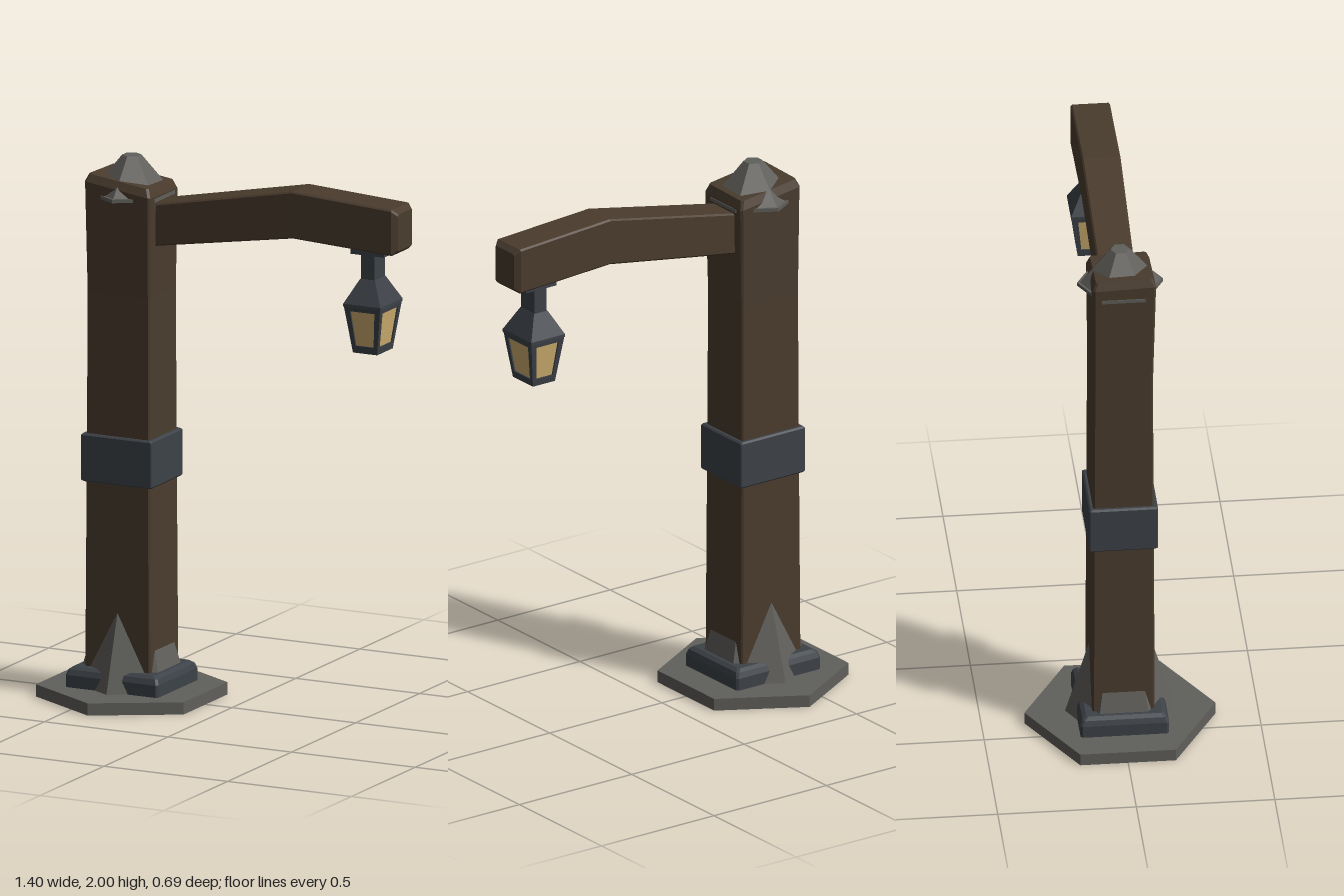
import * as THREE from 'three';

const material = (color) => new THREE.MeshStandardMaterial({ color, flatShading: true });

// Chamfered rectangular cross-section at height y; counterclockwise from above.
function section(y, hx, hz, c = 0, cx = 0, cz = 0) {
  const corners = c
    ? [[hx - c, hz], [hx, hz - c], [hx, c - hz], [hx - c, -hz], [c - hx, -hz], [-hx, c - hz], [-hx, hz - c], [c - hx, hz]]
    : [[hx, hz], [hx, -hz], [-hx, -hz], [-hx, hz]];
  return corners.map(([x, z]) => new THREE.Vector3(cx + x, y, cz + z));
}

// Solid through a stack of cross-sections, capped at both ends.
function loft(rings) {
  const pts = [];
  const n = rings[0].length;
  for (let r = 0; r < rings.length - 1; r++) {
    for (let i = 0; i < n; i++) {
      const j = (i + 1) % n;
      const a = rings[r][i], b = rings[r][j], c = rings[r + 1][j], d = rings[r + 1][i];
      pts.push(a, b, c, a, c, d);
    }
  }
  const lo = rings[0], hi = rings[rings.length - 1];
  for (let i = 1; i < n - 1; i++) pts.push(lo[0], lo[i + 1], lo[i], hi[0], hi[i], hi[i + 1]);
  const g = new THREE.BufferGeometry().setFromPoints(pts);
  g.computeVertexNormals();
  return g;
}

export function createModel() {
  const model = new THREE.Group();
  const wood = material(0x4a3c2e);
  const iron = material(0x3d4248);
  const stone = material(0x605f5b);
  const glass = material(0xd0b070);

  const add = (parent, name, geometry, mat, x = 0, y = 0, z = 0) => {
    const mesh = new THREE.Mesh(geometry, mat);
    mesh.name = name;
    mesh.position.set(x, y, z);
    parent.add(mesh);
    return mesh;
  };
  const hex = (top, bottom, y0, y1) =>
    new THREE.CylinderGeometry(top, bottom, y1 - y0, 6).translate(0, (y0 + y1) / 2, 0);

  // Stone foot: hexagonal slab and a tapering core that breaks through the post
  const column = new THREE.Group();
  column.name = 'column';
  column.position.x = -0.405;
  model.add(column);
  add(column, 'baseSlab', hex(0.345, 0.345, 0, 0.045), stone);
  add(column, 'stoneFoot', hex(0.06, 0.2, 0.04, 0.5), stone);

  // Iron skirting with rounded upper edge
  add(column, 'skirting', loft([
    section(0.04, 0.187, 0.16, 0.008),
    section(0.09, 0.187, 0.16, 0.008),
    section(0.11, 0.18, 0.152, 0.008),
    section(0.12, 0.165, 0.138, 0.008),
  ]), iron);

  // Slightly uneven timber post with a slanted top
  const post = loft([
    section(0.04, 0.133, 0.113, 0.006),
    section(0.9, 0.128, 0.11, 0.006),
    section(1.5, 0.126, 0.107, 0.006),
    section(1.89, 0.132, 0.114, 0.008, 0, 0.004),
    section(1.92, 0.12, 0.102, 0.008, 0, 0.004),
  ]);
  const p = post.attributes.position;
  for (let i = 0; i < p.count; i++) {
    if (p.getY(i) > 1.8) p.setY(i, p.getY(i) - p.getX(i) * 0.14 + p.getZ(i) * 0.03);
  }
  post.computeVertexNormals();
  add(column, 'post', post, wood);

  // Iron band around the post
  add(column, 'band', loft([
    section(0.803, 0.137, 0.118, 0.004),
    section(0.809, 0.143, 0.124, 0.004),
    section(0.974, 0.143, 0.124, 0.004),
    section(0.98, 0.137, 0.118, 0.004),
  ]), iron);

  // Stone cap whose brim pokes through the post
  add(column, 'capBrim', hex(0.155, 0.155, 1.853, 1.866), stone);
  add(column, 'cap', hex(0.035, 0.145, 1.866, 2.0), stone);

  // Bent timber arm, lofted upright and laid along x
  const arm = loft([
    // x, centre height, half height, half depth
    [-0.4, 1.745, 0.077, 0.064],
    [-0.28, 1.767, 0.078, 0.066],
    [0.28, 1.867, 0.087, 0.07],
    [0.68, 1.845, 0.085, 0.071],
    [0.7, 1.844, 0.068, 0.056],
  ].map(([x, y, h, d]) => section(x, h, d, 0.006, -y))).rotateZ(-Math.PI / 2);
  add(model, 'arm', arm, wood);

  // Hanging lantern
  const lantern = new THREE.Group();
  lantern.name = 'lantern';
  lantern.position.set(0.57, 0, 0);
  model.add(lantern);
  add(lantern, 'mountPlate', new THREE.BoxGeometry(0.135, 0.025, 0.09), iron, 0, 1.757);
  add(lantern, 'hanger', new THREE.BoxGeometry(0.055, 0.13, 0.08), iron, 0, 1.705);
  add(lantern, 'roof', loft([
    section(1.557, 0.075, 0.087), section(1.568, 0.075, 0.087), section(1.655, 0.03, 0.042),
  ]), iron);

  // Tapered body: half sizes of the frame at a given height
  const halfX = (y) => 0.049 + (y - 1.385) * 0.14;
  const halfZ = (y) => 0.061 + (y - 1.385) * 0.14;
  const frustum = (y0, y1, inset) =>
    loft([y0, y1].map((y) => section(y, halfX(y) - inset, halfZ(y) - inset)));
  add(lantern, 'bottomRim', frustum(1.385, 1.412, 0), iron);
  add(lantern, 'topRim', frustum(1.542, 1.56, 0), iron);
  add(lantern, 'glassPanes', frustum(1.4, 1.55, 0.006), glass);
  for (const sx of [-1, 1]) {
    for (const sz of [-1, 1]) {
      add(lantern, 'cornerBar', loft([1.4, 1.55].map((y) => {
        const w = 0.008 + (y - 1.4) * 0.02;
        return section(y, w, w, 0, sx * (halfX(y) - w), sz * (halfZ(y) - w));
      })), iron);
    }
  }
  return model;
}
